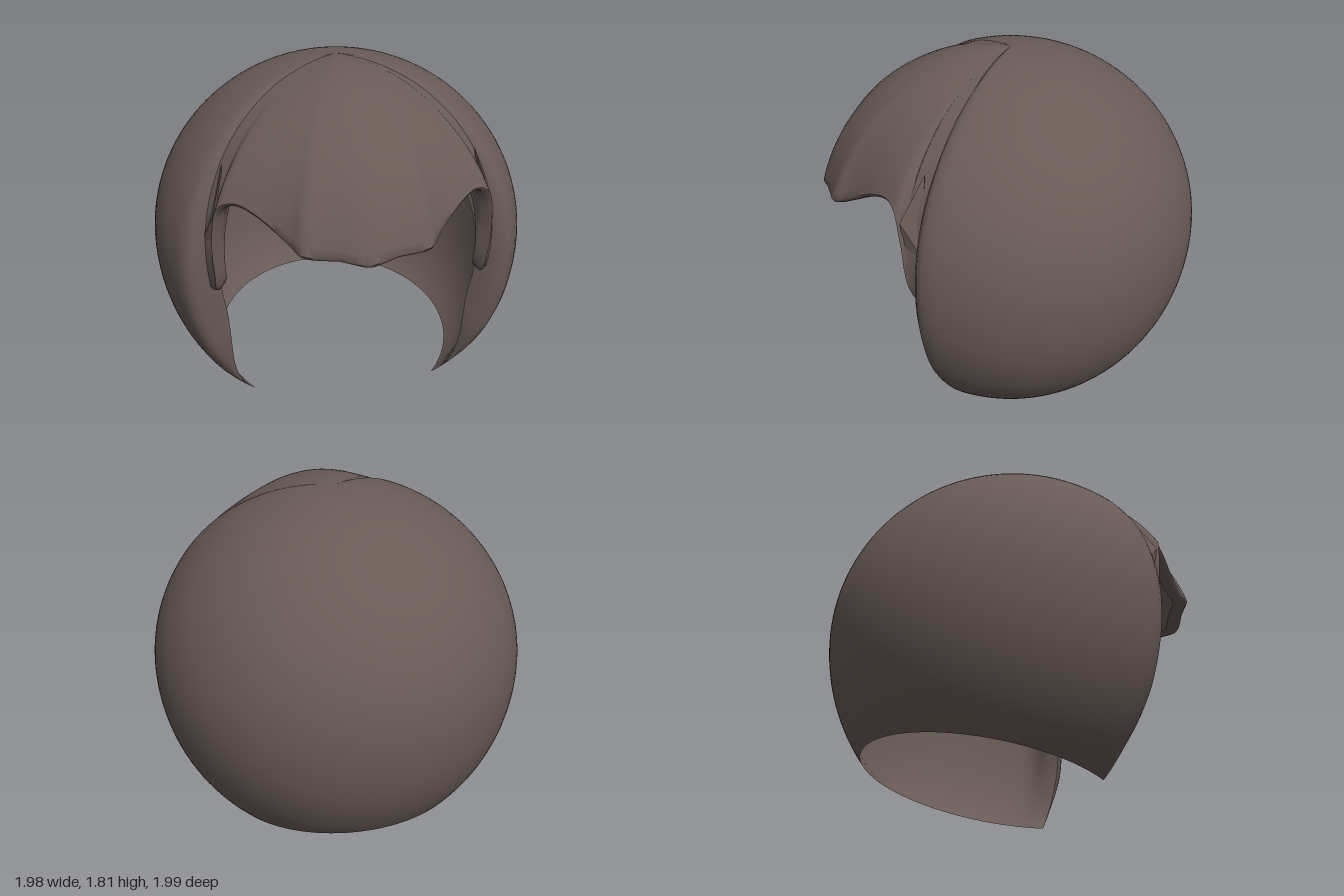
import * as THREE from 'three';
import { mergeVertices, toCreasedNormals } from 'three/addons/utils/BufferGeometryUtils.js';
import { ConvexGeometry } from 'three/addons/geometries/ConvexGeometry.js';

const RAD = Math.PI / 180;
const CENTRE = 0.84, WIDTH = 0.99, UPPER = 0.96, LOWER = 1.05;
const { lerp, smoothstep } = THREE.MathUtils;
const material = new THREE.MeshStandardMaterial({ color: 0x695b56, side: THREE.DoubleSide });

// Grid surface: point(i, j) with i running around and j running down
function gridSurface(cols, rows, point, crease) {
  const pos = [], index = [];
  for (let i = 0; i <= cols; i++) for (let j = 0; j <= rows; j++) pos.push(...point(i, j));
  for (let i = 0; i < cols; i++) for (let j = 0; j < rows; j++) {
    const a = i * (rows + 1) + j, b = a + rows + 1;
    if (j > 0) index.push(a, b + 1, b);
    index.push(a, a + 1, b + 1);
  }
  let geo = new THREE.BufferGeometry();
  geo.setAttribute('position', new THREE.Float32BufferAttribute(pos, 3));
  geo.setIndex(index);
  geo = mergeVertices(geo, 1e-4);
  return toCreasedNormals(geo, crease);
}

// Point on the head-shaped ellipsoid; azimuth is 0 at the front, polar 0 at the crown
function onHead(azimuth, polar, side = 1, up = 1) {
  const r = WIDTH * Math.sin(polar) * side, c = Math.cos(polar);
  return [r * Math.sin(azimuth), CENTRE + c * (c > 0 ? UPPER : LOWER) * up, r * Math.cos(azimuth)];
}

// Polar angle where the shell meets the tilted hem
function hemPolar(azimuth) {
  let lo = Math.PI / 2, hi = 2.8;
  for (let k = 0; k < 30; k++) {
    const mid = (lo + hi) / 2, [, y, z] = onHead(azimuth, mid);
    if (y > 0.055 - 0.185 * z) lo = mid; else hi = mid;
  }
  return lo;
}

// Sides and back: a closed cross-section (outside, rounded front lips, inside) swept down
function shellGeometry() {
  const loop = []; // [azimuth in degrees, 0 outside .. 1 inside]
  const lip = [[54.5, 1], [54.4, 0.75], [54.7, 0.5], [55.5, 0.25], [57, 0.09], [59, 0.02], [62, 0]];
  loop.push(...lip);
  for (let a = 65; a < 296; a += 3) loop.push([a, 0]);
  loop.push(...lip.map(([a, s]) => [360 - a, s]).reverse());
  for (let a = 302; a > 56; a -= 3) loop.push([a, 1]);
  loop.push(loop[0]);
  const rows = 56;
  return gridSurface(loop.length - 1, rows, (i, j) => {
    const [deg, inside] = loop[i], v = j / rows;
    const edge = Math.min(deg, 360 - deg);
    const shift = 4 * smoothstep(v, 0.8, 1) * (1 - smoothstep(edge, 56, 90));
    const az = (deg + (deg < 180 ? shift : -shift)) * RAD;
    const thin = lerp(lerp(0.82, 0.93, smoothstep(edge, 57, 70)), 1, smoothstep(v, 0.72, 1));
    const k = lerp(1, thin, inside);
    return onHead(az, hemPolar(az) * v, k, k);
  }, 0.9);
}

// Fringe: flares forward over the brow and ends in a wavy edge
function fringeGeometry() {
  // Edge points: azimuth in degrees, height, flare
  const half = [[4, 1.112, 1.045], [8, 1.125, 1.035], [13, 1.125, 1.03], [18, 1.135, 1.035],
    [22, 1.165, 1.0], [28, 1.215, 0.98], [35, 1.265, 0.985], [42, 1.285, 0.995], [47, 1.25, 1.005],
    [49.5, 1.08, 0.95], [51.5, 0.8, 0.89], [58, 0.78, 0.88]];
  const pts = [...half.map(([a, y, s]) => [-a, y, s]).reverse(), [0, 1.1, 1.05], ...half];
  const curve = new THREE.CatmullRomCurve3(pts.map(([a, y, s]) => new THREE.Vector3(a / 60, y, s)));
  const cols = 120, edge = curve.getPoints(cols);
  // Profile: down the outside, around the tip, back up the inside
  const profile = [];
  for (let j = 0; j <= 32; j++) profile.push([j / 32, 1]);
  profile.push([1.012, 0.985], [1.015, 0.96], [1.005, 0.935]);
  for (let j = 20; j >= 0; j--) profile.push([j / 20, 0.92]);
  return gridSurface(cols, profile.length - 1, (i, j) => {
    const { x, y, z: flare } = edge[i], [v, k] = profile[j];
    const az = x * 60 * RAD, middle = Math.cos(az * 1.5) ** 2;
    const bulge = Math.sin(Math.PI * Math.min(v, 1)) * (0.035 * middle - 0.012 * (1 - middle));
    const polar = Math.acos((y - CENTRE) / UPPER) * v;
    const side = lerp(1, flare, Math.min(v, 1) ** 2) + bulge;
    return onHead(az, polar, side * k, (1 + bulge) * lerp(k, 1, smoothstep(v, 0.75, 1) * 0.6));
  }, 0.9);
}

// Small pointed lock where the fringe meets the side
function templeLock(side) {
  const pts = [[0.62, 1.42, 0.46], [0.73, 1.05, 0.5], [0.68, 0.78, 0.53], [0.68, 1.2, 0.59], [0.64, 1.1, 0.48]];
  return new ConvexGeometry(pts.map(([x, y, z]) => new THREE.Vector3(x * side, y, z)));
}

export function createModel() {
  const group = new THREE.Group();
  group.name = 'hair';
  const add = (name, geometry) => {
    const mesh = new THREE.Mesh(geometry, material);
    mesh.name = name;
    group.add(mesh);
  };
  add('sidesAndBack', shellGeometry());
  add('fringe', fringeGeometry());
  add('leftTempleLock', templeLock(1));
  add('rightTempleLock', templeLock(-1));
  return group;
}
